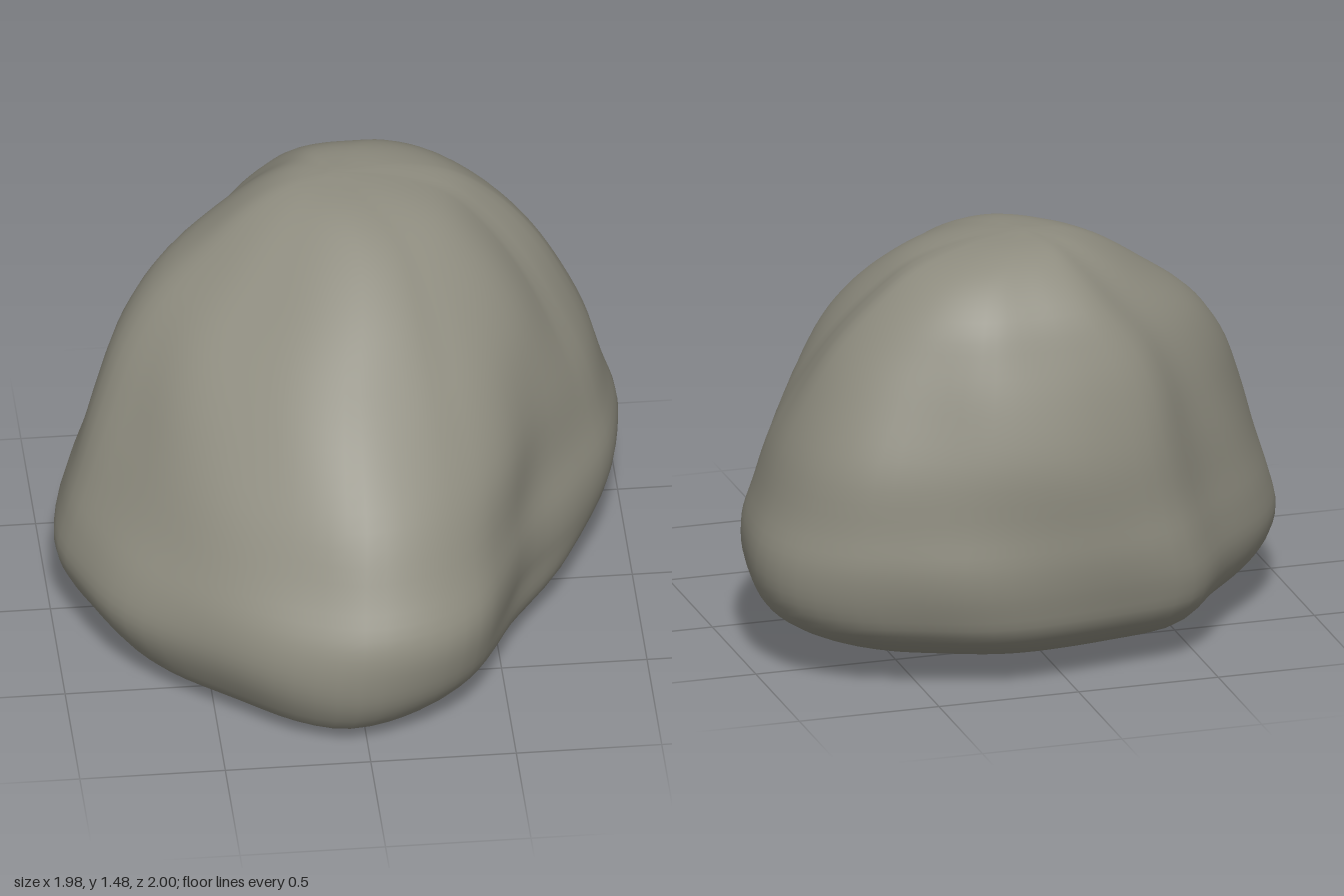
import * as THREE from 'three';
import { mergeVertices } from 'three/addons/utils/BufferGeometryUtils.js';

const { smoothstep, clamp, lerp } = THREE.MathUtils;
const SIDES = 80, STEPS = 4;

// Widest plan outline (x, z), from the back round the +x side to the front
const OUTLINE = [
  [0.08, -1], [0.3, -0.99], [0.55, -0.92], [0.8, -0.83], [0.95, -0.68], [1, -0.5], [0.98, -0.3],
  [0.93, -0.1], [0.8, 0.13], [0.62, 0.38], [0.51, 0.62], [0.4, 0.81], [0.22, 0.94], [-0.02, 1],
  [-0.24, 0.94], [-0.5, 0.77], [-0.78, 0.5], [-0.92, 0.26], [-1, 0.05], [-0.96, -0.2],
  [-0.84, -0.44], [-0.64, -0.66], [-0.45, -0.89], [-0.2, -0.97],
];

// Extents of each level: y, x min, x max, z back, z front
const LEVELS = [
  [0.015, 0, 0, 0.05, 0.05],
  [0.015, -0.3, 0.32, -0.3, 0.4],
  [0.025, -0.58, 0.58, -0.5, 0.68],
  [0.07, -0.81, 0.74, -0.76, 0.86],
  [0.18, -0.94, 0.91, -0.93, 0.96],
  [0.31, -1, 0.98, -0.98, 1],
  [0.45, -0.97, 0.99, -1, 0.99],
  [0.6, -0.91, 0.95, -0.99, 0.9],
  [0.8, -0.83, 0.9, -0.98, 0.77],
  [1.0, -0.74, 0.81, -0.93, 0.57],
  [1.16, -0.62, 0.71, -0.87, 0.37],
  [1.3, -0.44, 0.58, -0.8, 0.17],
  [1.41, -0.28, 0.43, -0.69, -0.03],
  [1.47, -0.14, 0.23, -0.57, -0.2],
  [1.49, 0.02, 0.02, -0.4, -0.4],
];

function boulderGeometry() {
  const curve = new THREE.CatmullRomCurve3(
    OUTLINE.map(([x, z]) => new THREE.Vector3(x, 0, z)), true);
  const ring = curve.getSpacedPoints(SIDES).slice(0, SIDES);
  const levels = new THREE.CubicInterpolant(LEVELS.map((_, i) => i), LEVELS.flat(), 5);
  const rows = (LEVELS.length - 1) * STEPS;
  const pos = [], index = [];

  for (let r = 0; r <= rows; r++) {
    const [y, x0, x1, z0, z1] = levels.evaluate(r / STEPS);
    const foot = 1 - smoothstep(y, 0, 0.32);
    // hollows and corners of the plan soften towards the crown and the foot
    const soften = 0.85 * smoothstep(y, 0.4, 1.3) + 0.5 * foot;
    for (const p of ring) {
      const a = Math.atan2(p.z, p.x), radius = Math.hypot(p.x, p.z);
      // gentle weathered dents
      const dent = 1 + 0.008 * Math.sin(5 * a + 4 * y) + 0.006 * Math.sin(8 * a - 7 * y + 1);
      const k = dent * lerp(1, clamp(radius, 0.9, 1.04) / radius, soften);
      const x = (x0 + x1) / 2 + p.x * k * (x1 - x0) / 2;
      const z = (z0 + z1) / 2 + p.z * k * (z1 - z0) / 2;
      // the underside dips slightly to the front
      pos.push(x, y - 0.018 * z * foot, z);
    }
  }
  for (let r = 0; r < rows; r++) {
    for (let i = 0; i < SIDES; i++) {
      const a = r * SIDES + i, b = r * SIDES + (i + 1) % SIDES;
      index.push(a, a + SIDES, b, b, a + SIDES, b + SIDES);
    }
  }
  let geo = new THREE.BufferGeometry();
  geo.setAttribute('position', new THREE.Float32BufferAttribute(pos, 3));
  geo.setIndex(index);
  geo = mergeVertices(geo, 1e-4); // weld the two poles
  geo.computeVertexNormals();
  return geo;
}

export function createModel() {
  const group = new THREE.Group();
  group.name = 'rock';
  const boulder = new THREE.Mesh(
    boulderGeometry(), new THREE.MeshStandardMaterial({ color: 0x8e8c7f }));
  boulder.name = 'boulder';
  group.add(boulder);
  return group;
}
